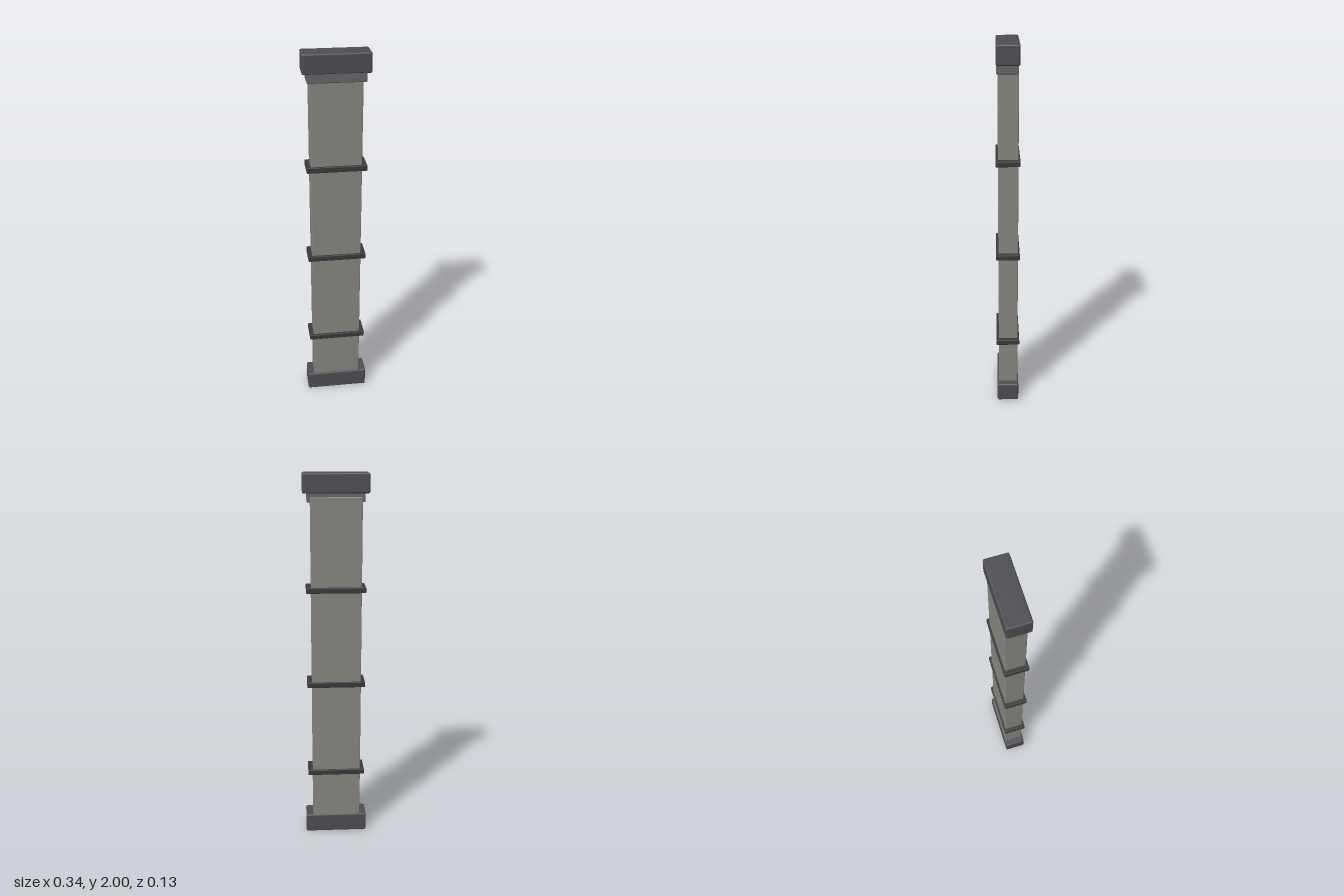
import * as THREE from 'three';
import { RoundedBoxGeometry } from 'three/addons/geometries/RoundedBoxGeometry.js';

const material = (color) => new THREE.MeshStandardMaterial({ color });

export function createModel() {
  const group = new THREE.Group();
  const stone = material(0x8a8880);
  const darkStone = material(0x4f4e54);
  const collarStone = material(0x68686c);
  const iron = material(0x3a3a3c);

  // Bevelled block spanning y0..y1
  const block = (name, width, y0, y1, depth, bevel, mat, x = 0, z = 0) => {
    const mesh = new THREE.Mesh(new RoundedBoxGeometry(width, y1 - y0, depth, 2, bevel), mat);
    mesh.position.set(x, (y0 + y1) / 2, z);
    mesh.name = name;
    group.add(mesh);
  };

  // Base and capital
  block('base', 0.34, 0, 0.105, 0.118, 0.008, darkStone, 0, -0.001);
  block('capital', 0.34, 1.9, 2, 0.118, 0.008, darkStone, 0, -0.001);

  // Collar under the capital, set slightly forward of the shaft's back
  block('collar', 0.295, 1.857, 1.91, 0.106, 0.005, collarStone, 0, 0.003);

  // Shaft, standing slightly off centre
  block('shaft', 0.264, 0.095, 1.882, 0.104, 0.004, stone, -0.002, -0.003);

  // Bands around the shaft
  [0.373, 0.892, 1.41].forEach((y, i) =>
    block(`band${i + 1}`, 0.312, y - 0.015, y + 0.015, 0.126, 0.004, iron, 0, -0.001));

  return group;
}
